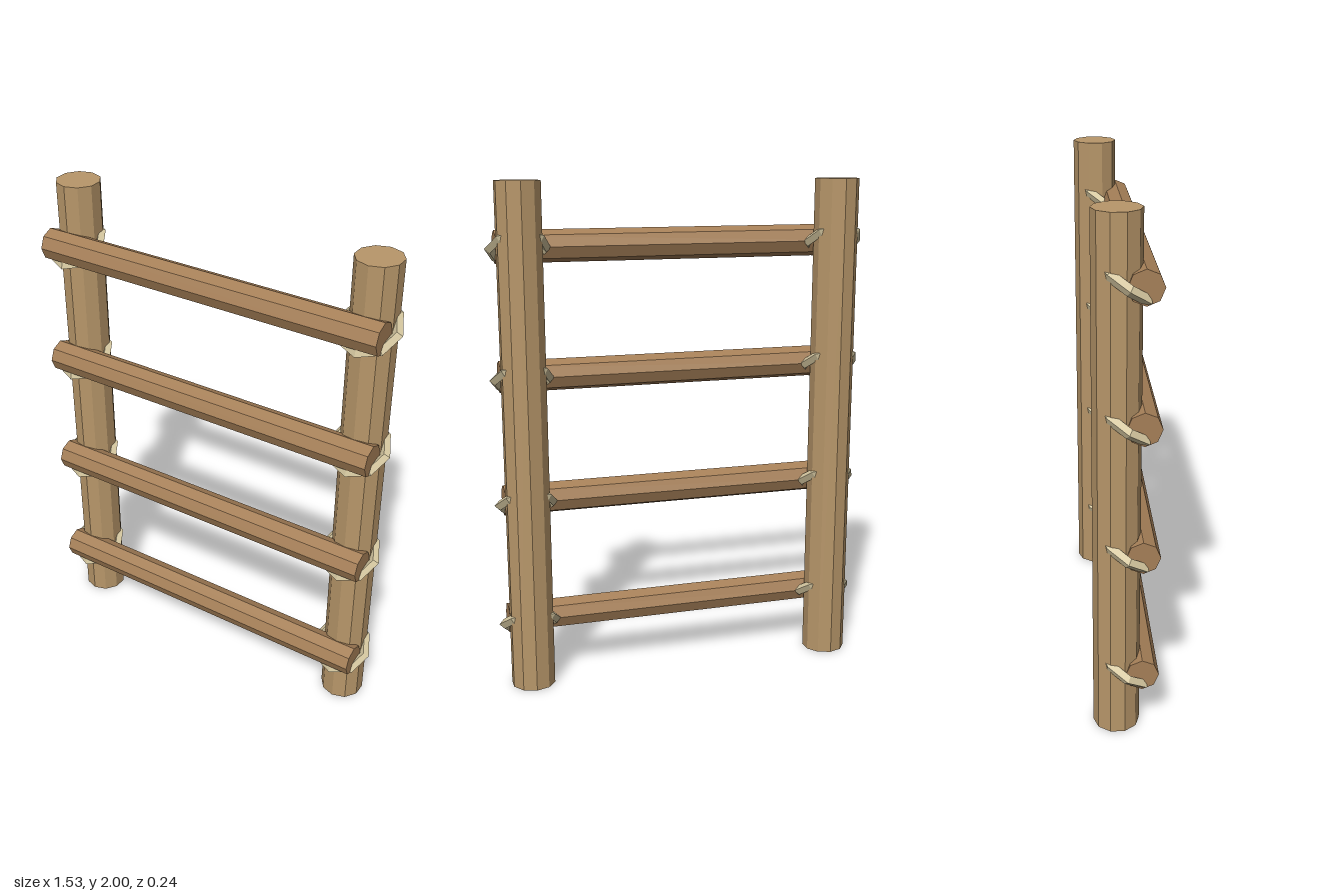
import * as THREE from 'three';

export function createModel() {
  const group = new THREE.Group();
  const paint = (color) => new THREE.MeshStandardMaterial({ color, flatShading: true });
  const postWood = paint(0xb8976a);
  const rungWood = paint(0xa68058);
  const rope = paint(0xd9cba3);

  const add = (name, geometry, material, x, y, z) => {
    const mesh = new THREE.Mesh(geometry, material);
    mesh.name = name;
    mesh.position.set(x, y, z);
    group.add(mesh);
  };

  const postX = 0.638;
  const postGeo = new THREE.CylinderGeometry(0.088, 0.088, 2, 10);
  // Rung lies along x with edges facing up and forward
  const rungGeo = new THREE.CylinderGeometry(0.063, 0.063, 1.44, 8).rotateZ(Math.PI / 2);
  // Rope ring tilted low at the front, high at the back
  const ropeGeo = new THREE.TorusGeometry(0.106, 0.02, 4, 8).rotateX(Math.PI / 2 + 0.6);

  // Upright posts
  add('leftPost', postGeo, postWood, postX, 1, -0.035);
  add('rightPost', postGeo, postWood, -postX, 1, -0.035);

  // Rungs, each lashed to both posts
  for (let i = 0; i < 4; i++) {
    const y = 0.25 + i * 0.5;
    add(`rung${i + 1}`, rungGeo, rungWood, 0, y + 0.002, 0.056);
    add(`leftLashing${i + 1}`, ropeGeo, rope, postX, y, 0);
    add(`rightLashing${i + 1}`, ropeGeo, rope, -postX, y, 0);
  }
  return group;
}
